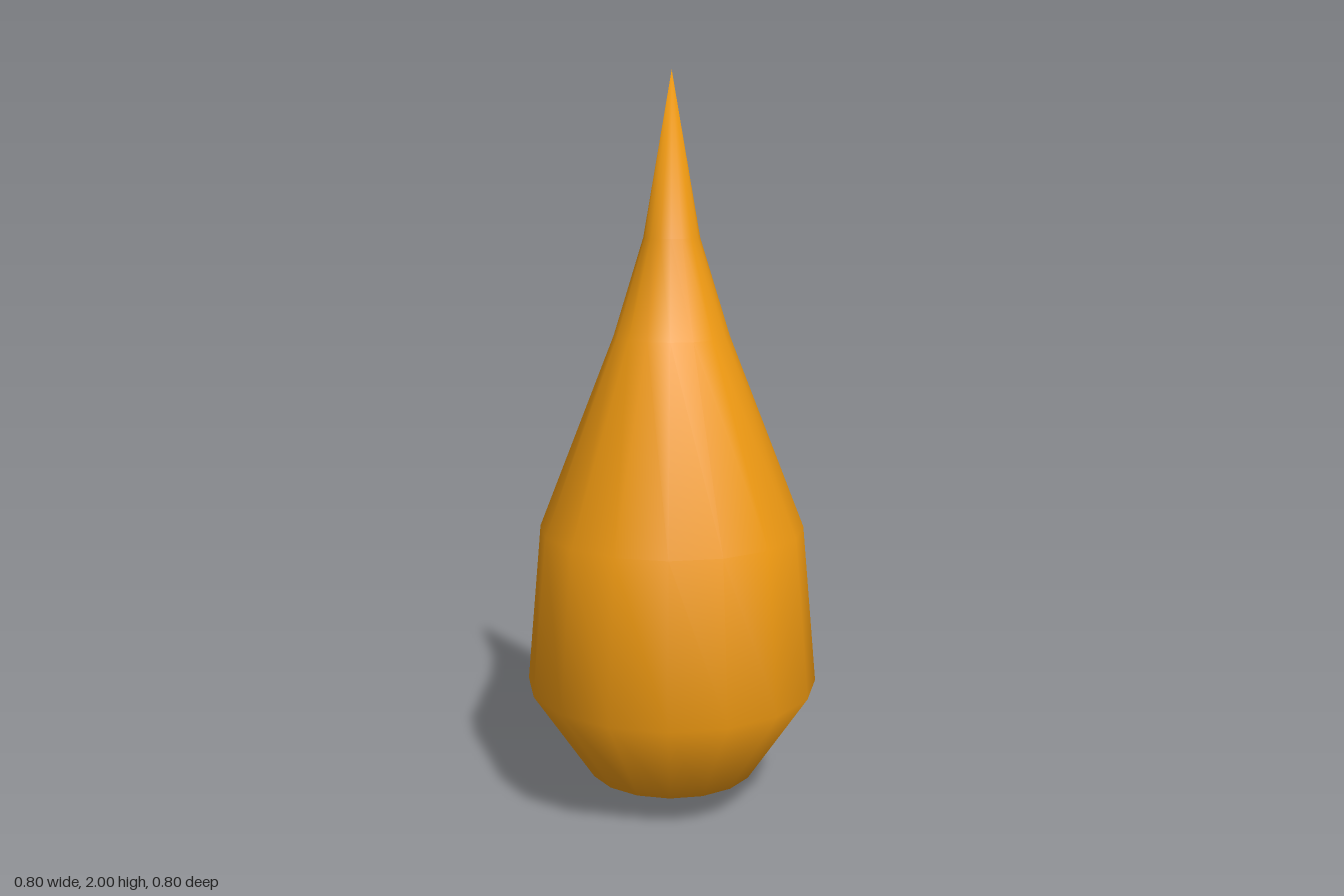
import * as THREE from 'three';
import { mergeVertices } from 'three/addons/utils/BufferGeometryUtils.js';

export function createModel() {
  const group = new THREE.Group();

  // Teardrop profile as [radius, height], from the bottom pole to the tip
  const profile = [
    [0, 0], [0.23, 0.09], [0.4, 0.345], [0.36, 0.785],
    [0.155, 1.31], [0.075, 1.57], [0, 2],
  ].map(([r, y]) => new THREE.Vector2(r, y));

  // Weld the seam and the poles so the shading runs smoothly over both
  let geometry = new THREE.LatheGeometry(profile, 16);
  geometry.deleteAttribute('uv');
  geometry.deleteAttribute('normal');
  geometry = mergeVertices(geometry, 1e-4);
  geometry.computeVertexNormals();

  const drop = new THREE.Mesh(geometry, new THREE.MeshStandardMaterial({ color: 0xf39c12 }));
  drop.name = 'teardropBody';
  group.add(drop);
  return group;
}
